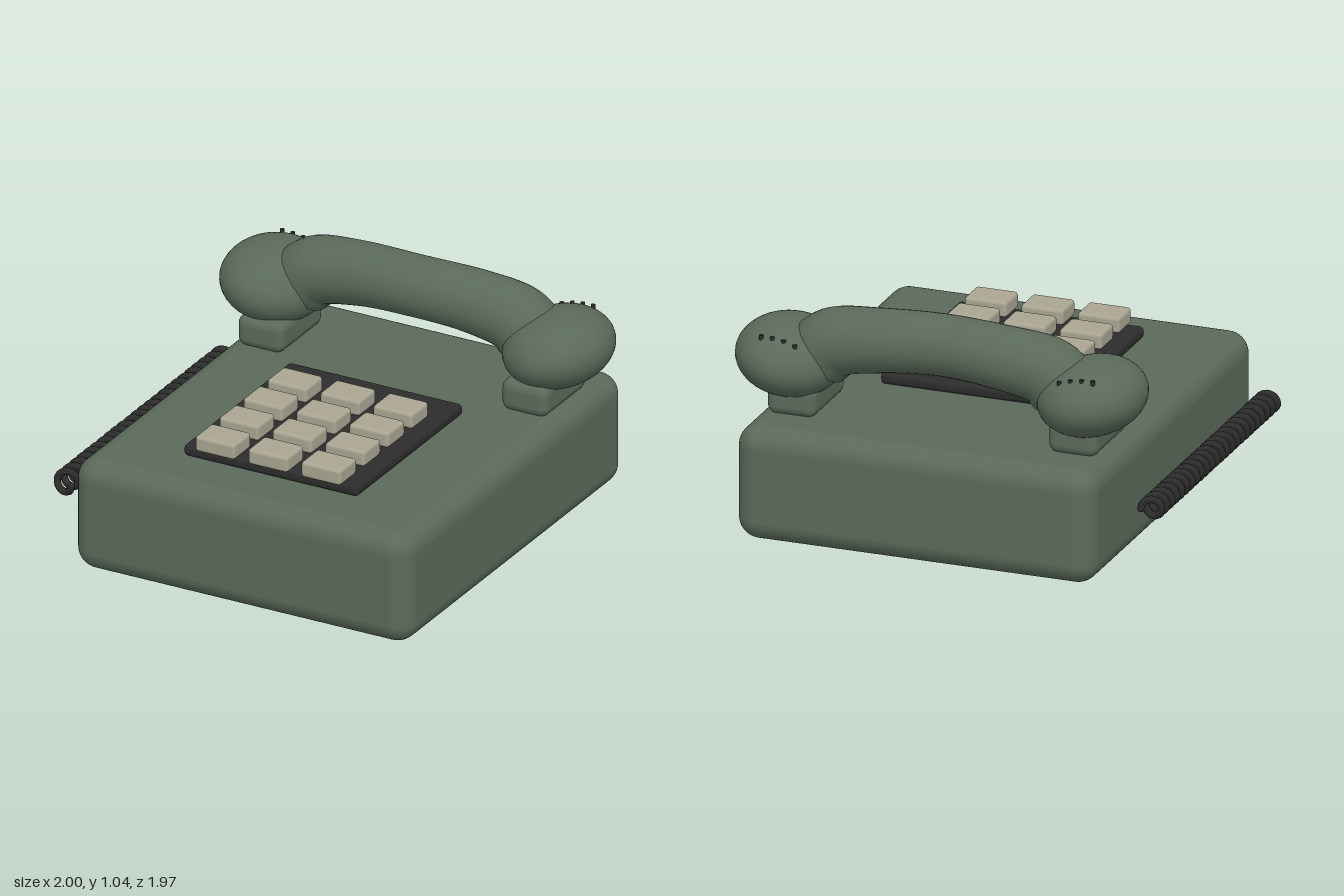
import * as THREE from 'three';
import { RoundedBoxGeometry } from 'three/addons/geometries/RoundedBoxGeometry.js';

const material = (name, color, side = THREE.FrontSide) => {
  const m = new THREE.MeshStandardMaterial({ color, side });
  m.name = name;
  return m;
};

export function createModel() {
  const model = new THREE.Group();
  model.name = 'telephone';
  const green = material('sage green', 0x5a6a5a, THREE.DoubleSide);
  const dark = material('charcoal', 0x2c2c2c);
  const cream = material('stone beige', 0xaaa592);

  const add = (parent, name, geometry, mat, x = 0, y = 0, z = 0) => {
    const mesh = new THREE.Mesh(geometry, mat);
    mesh.name = name;
    mesh.position.set(x, y, z);
    parent.add(mesh);
    return mesh;
  };
  const midX = 0.053; // centre line of the body

  // Body and keypad plate
  add(model, 'body', new RoundedBoxGeometry(1.68, 0.53, 1.97, 6, 0.1), green, midX, 0.265, 0);
  add(model, 'keypadPlate', new RoundedBoxGeometry(0.87, 0.055, 0.955, 4, 0.022), dark, midX, 0.554, 0.224);

  // Twelve push buttons
  const keypad = new THREE.Group();
  keypad.name = 'keypad';
  model.add(keypad);
  const keyGeometry = new RoundedBoxGeometry(0.198, 0.075, 0.153, 3, 0.016);
  for (let row = 0; row < 4; row++) {
    for (let col = -1; col <= 1; col++) {
      add(keypad, 'button', keyGeometry, cream, midX + col * 0.264, 0.613, 0.004 + row * 0.215);
    }
  }

  // Handset with an ear cup and cradle on each side
  const handset = new THREE.Group();
  handset.name = 'handset';
  model.add(handset);
  const cupGeometry = new THREE.SphereGeometry(1, 40, 28);
  const holeGeometry = new THREE.CylinderGeometry(0.01, 0.01, 0.04, 10);
  for (const side of [-1, 1]) {
    add(model, 'cradle', new RoundedBoxGeometry(0.23, 0.15, 0.39, 5, 0.045), green,
      midX + side * 0.658, 0.597, -0.57);
    const cup = add(handset, 'earCup', cupGeometry, green, midX + side * 0.705, 0.765, -0.623);
    cup.scale.set(0.242, 0.17, 0.277);
    cup.rotation.z = side * 0.16;
    // Row of small sound-hole pegs
    for (let i = 0; i < 4; i++) {
      const dx = (i - 1.5) * 0.052;
      const tilt = side * dx * 0.16;
      add(handset, 'soundHole', holeGeometry, dark,
        midX + side * 0.697 + dx, 0.882 + tilt - dx * dx * 1.2, -0.803);
    }
  }

  // Arched grip: a tube that swells toward both ends
  const half = [[0.56, 0.80], [0.5, 0.848], [0.3, 0.883]];
  const points = [
    ...half.map(([x, y]) => new THREE.Vector3(midX - x, y, -0.625)),
    new THREE.Vector3(midX, 0.898, -0.61),
    ...half.slice().reverse().map(([x, y]) => new THREE.Vector3(midX + x, y, -0.625)),
  ];
  const path = new THREE.CatmullRomCurve3(points);
  const segments = 64, sides = 32;
  const grip = new THREE.TubeGeometry(path, segments, 1, sides);
  const pos = grip.attributes.position;
  const v = new THREE.Vector3();
  for (let i = 0; i <= segments; i++) {
    const t = i / segments;
    const centre = path.getPointAt(t);
    const radius = 0.138 + 0.022 * Math.pow(Math.abs(2 * t - 1), 2);
    for (let j = 0; j <= sides; j++) {
      const k = i * (sides + 1) + j;
      v.fromBufferAttribute(pos, k).sub(centre).multiplyScalar(radius).add(centre);
      pos.setXYZ(k, v.x, v.y, v.z);
    }
  }
  add(handset, 'grip', grip, green);

  // Coiled cord beside the body
  const turns = 24;
  class Coil extends THREE.Curve {
    getPoint(t, target = new THREE.Vector3()) {
      const a = t * turns * Math.PI * 2;
      return target.set(-0.94 + 0.043 * Math.cos(a), 0.29 + 0.043 * Math.sin(a), -0.675 + 1.45 * t);
    }
  }
  const cord = new Coil();
  const wire = 0.0165;
  add(model, 'cord', new THREE.TubeGeometry(cord, turns * 20, wire, 8), dark);
  for (const t of [0, 1]) {
    const p = cord.getPoint(t);
    add(model, 'cordEnd', new THREE.SphereGeometry(wire, 10, 8), dark, p.x, p.y, p.z);
  }
  return model;
}
